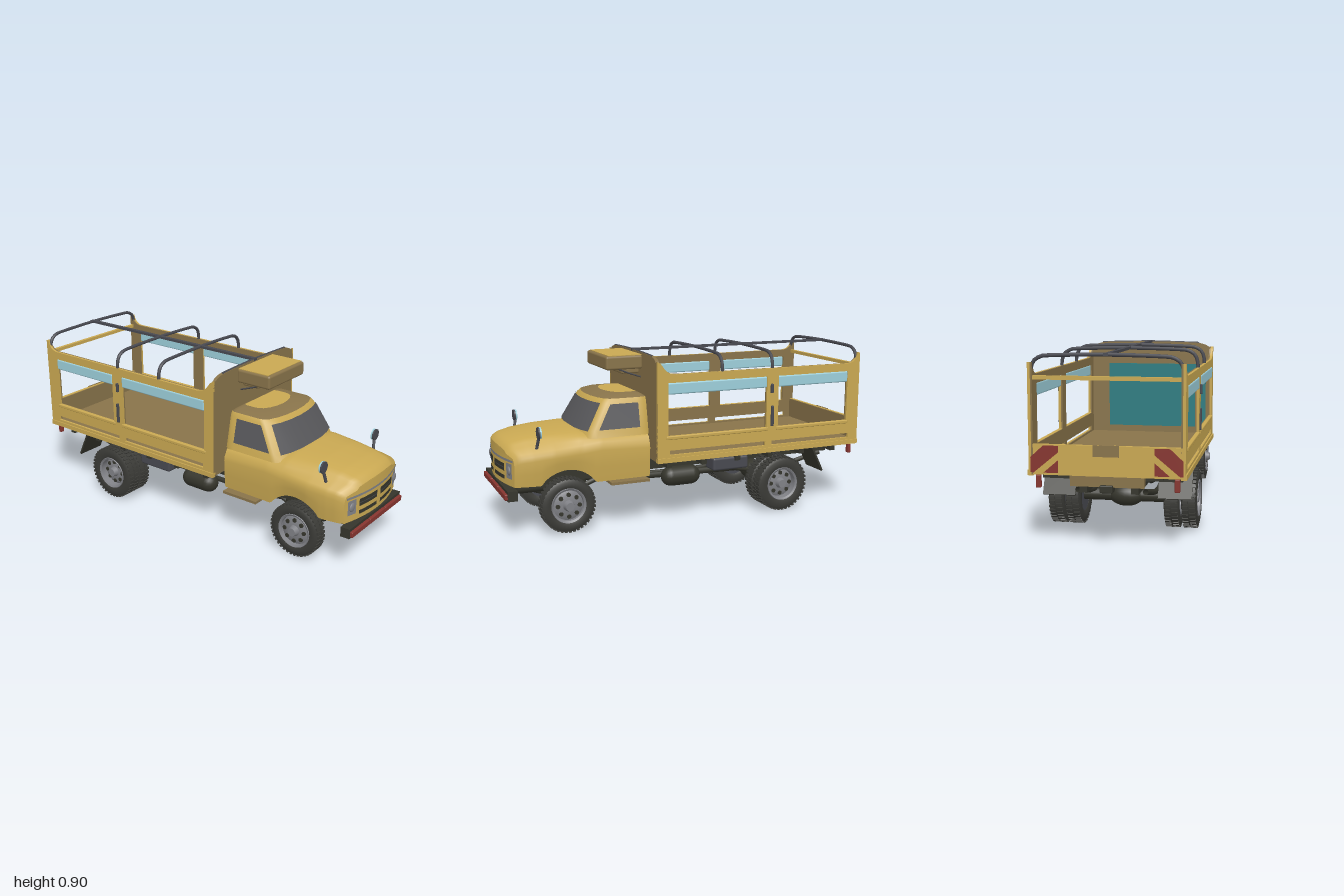
import * as THREE from 'three';
import { mergeGeometries, toCreasedNormals } from 'three/addons/utils/BufferGeometryUtils.js';
import { RoundedBoxGeometry } from 'three/addons/geometries/RoundedBoxGeometry.js';

const mat = (name, color, side = THREE.FrontSide) => new THREE.MeshStandardMaterial({ name, color, side });
const bothSides = fn => [1, -1].forEach(fn);

// skin over rows of points
function skin(rows, crease = 0.7) {
  const n = rows[0].length, idx = [];
  for (let i = 0; i < rows.length - 1; i++) for (let j = 0; j < n - 1; j++) {
    const a = i * n + j, b = a + n;
    idx.push(a, a + 1, b, a + 1, b + 1, b);
  }
  const g = new THREE.BufferGeometry();
  g.setAttribute('position', new THREE.Float32BufferAttribute(rows.flat(2), 3));
  g.setIndex(idx);
  return toCreasedNormals(g, crease);
}
// row of a table interpolated by its first column
function lerpTable(t, k) {
  let i = 0;
  while (i < t.length - 2 && k > t[i + 1][0]) i++;
  const f = THREE.MathUtils.clamp((k - t[i][0]) / (t[i + 1][0] - t[i][0]), 0, 1);
  return t[i].map((v, j) => THREE.MathUtils.lerp(v, t[i + 1][j], f));
}

export function createModel() {
  const D = THREE.DoubleSide;
  const gold = mat('gold paint', 0xc9a852, D), brown = mat('brown paint', 0x88734a, D);
  const glass = mat('grey glass', 0x58585b, D), metal = mat('dark metal', 0x484950);
  const rubber = mat('rubber', 0x3b3b37), under = mat('chassis', 0x35352c, D);
  const steel = mat('steel', 0x808186, D), blue = mat('light blue', 0x9dcfdb);
  const teal = mat('teal', 0x2b7c80), red = mat('red', 0x86352f);
  const root = new THREE.Group();
  const add = (name, geo, m, parent = root) => {
    const mesh = new THREE.Mesh(geo, m);
    mesh.name = name;
    parent.add(mesh);
    return mesh;
  };
  // box from its limits on each axis, and a mirrored pair of them
  const box = (name, m, x0, x1, y0, y1, z0, z1, r = 0) => {
    const s = [Math.abs(x1 - x0), y1 - y0, z1 - z0];
    const g = r ? new RoundedBoxGeometry(...s, 3, r) : new THREE.BoxGeometry(...s);
    return add(name, g.translate((x0 + x1) / 2, (y0 + y1) / 2, (z0 + z1) / 2), m);
  };
  const pair = (name, m, x0, x1, ...rest) => bothSides(s => box(name, m, s * x0, s * x1, ...rest));
  const tube = (name, m, pts, r, tension = 0.2) => add(name, new THREE.TubeGeometry(
    new THREE.CatmullRomCurve3(pts.map(p => new THREE.Vector3(...p)), false, 'catmullrom', tension), 40, r, 8), m);

  // Bonnet, wings and lower cab: z, half width, wing top, bonnet half width, bonnet top
  const hull = [[0.235, 0.275, 0.44, 0.255, 0.49], [0.5, 0.28, 0.45, 0.255, 0.5], [0.6, 0.281, 0.44, 0.25, 0.511],
    [0.75, 0.29, 0.432, 0.228, 0.507], [0.88, 0.285, 0.425, 0.21, 0.495], [0.95, 0.277, 0.42, 0.2, 0.48],
    [0.975, 0.27, 0.415, 0.19, 0.468], [0.99, 0.26, 0.40, 0.18, 0.45]];
  const warp = (x, z) => z - 0.05 * (x / 0.28) ** 2 * THREE.MathUtils.smoothstep(z, 0.78, 0.99);
  const halfSection = z => {
    const [, w, f, hw, h] = lerpTable(hull, z), d = 0.18 ** 2 - (z - 0.68) ** 2;
    const b = Math.max(z > 0.8 ? 0.262 : 0.25, d > 0 ? 0.15 + Math.sqrt(d) : 0);
    return [[w * 0.965, b], [w * 0.99, b + (f - b) * 0.4], [w, f - 0.035], [w * 0.985, f - 0.012], [w * 0.95, f + 0.006],
      [hw, f + (h - f) * 0.4], [hw * 0.92, f + (h - f) * 0.68], [hw * 0.75, h - 0.01], [hw * 0.4, h - 0.002], [0, h]];
  };
  const hullRows = Array.from({ length: 61 }, (_, i) => {
    const z = 0.235 + 0.755 * i / 60, half = halfSection(z);
    return [...half, ...half.slice(0, -1).reverse().map(([x, y]) => [-x, y])].map(([x, y]) => [x, y, warp(x, z)]);
  });
  add('bonnetAndWings', skin(hullRows, 0.9), gold);
  const cols = Array.from({ length: 13 }, (_, i) => i / 6 - 1);
  add('nosePanel', skin(halfSection(0.99).map(([x, y]) => cols.map(t => [t * x, y, warp(t * x, 0.99)]))), gold);

  // Nose fittings follow the curve of the panel
  const patch = (name, m, xc, hw, y0, y1, o = 0.004) => add(name, skin([y0, y1].map(y =>
    cols.map(t => [xc + hw * t, y, warp(xc + hw * t, 0.99) + o]))), m);
  patch('noseTrim', steel, 0, 0.25, 0.386, 0.398);
  bothSides(s => {
    patch('upperGrille', under, s * 0.09, 0.073, 0.33, 0.369);
    patch('lowerGrille', under, s * 0.09, 0.073, 0.288, 0.308);
    patch('grilleBar', metal, s * 0.09, 0.073, 0.347, 0.351, 0.006);
    patch('lampSurround', steel, s * 0.213, 0.027, 0.3, 0.378);
    add('headlamp', new THREE.SphereGeometry(0.023, 20, 12).scale(1, 1, 0.35)
      .translate(s * 0.213, 0.34, warp(0.213, 0.99) + 0.004), steel);
  });

  // Cabin: height, half width, front z
  const cabin = [[0.475, 0.268, 0.61], [0.51, 0.26, 0.592], [0.645, 0.23, 0.515], [0.665, 0.218, 0.495],
    [0.677, 0.19, 0.46], [0.683, 0.14, 0.41]];
  const cabRing = (y, o = 0) => {
    const [, w0, f0] = lerpTable(cabin, y), w = w0 + o, f = f0 + o;
    const back = y > 0.67 ? 0.235 + (0.51 - f) * 0.25 : 0.235;
    const h = [[0, f], [w * 0.35, f - 0.005], [w * 0.65, f - 0.018], [w * 0.88, f - 0.038], [w * 0.975, f - 0.062],
      [w, f - 0.085], [w, back + 0.05], [w, back + 0.02], [w * 0.95, back], [0, back]];
    return [...h.slice(1).reverse().map(([x, z]) => [-x, y, z]), ...h.map(([x, z]) => [x, y, z])];
  };
  const cabRows = cabin.map(c => cabRing(c[0]));
  add('cabinShell', skin(cabRows.slice(0, 4), 0.9), gold);
  add('roofEdge', skin(cabRows.slice(3), 0.9), brown);
  add('roofTop', skin([cabRows[5], cabRows[5].map(() => [0, 0.684, 0.33])]), gold);
  [['windscreen', 0.508, 0.645, 6, 13], ['rightWindow', 0.515, 0.64, 3, 5], ['leftWindow', 0.515, 0.64, 14, 16]].forEach(
    ([name, y0, y1, a, b]) => add(name, skin([y0, y1].map(y => cabRing(y, 0.004).slice(a, b))), glass));

  // Mirrors, cab steps and bumper
  bothSides(s => {
    tube('mirrorArm', metal, [[s * 0.238, 0.43, 0.83], [s * 0.24, 0.46, 0.825], [s * 0.255, 0.52, 0.815]], 0.008);
    [['mirrorShell', metal, 0.822], ['mirrorFace', blue, 0.814]].forEach(([name, m, z]) => add(name,
      new THREE.CylinderGeometry(0.03, 0.03, 0.008, 24).rotateX(Math.PI / 2).translate(s * 0.255, 0.527, z), m));
  });
  pair('cabStep', brown, 0.205, 0.305, 0.232, 0.246, 0.25, 0.46);
  box('bumperBack', under, -0.26, 0.26, 0.193, 0.245, 0.935, 0.985);
  box('bumperMiddle', red, -0.077, 0.077, 0.2, 0.23, 0.978, 1, 0.005);
  pair('bumperEnd', red, 0.083, 0.255, 0.2, 0.23, 0.978, 1, 0.005);

  // Front bulkhead with rounded shoulders
  const wall = new THREE.Shape().moveTo(-0.355, 0.34).lineTo(-0.355, 0.80)
    .bezierCurveTo(-0.355, 0.86, -0.32, 0.878, -0.25, 0.882).quadraticCurveTo(0, 0.892, 0.25, 0.882)
    .bezierCurveTo(0.32, 0.878, 0.355, 0.86, 0.355, 0.80).lineTo(0.355, 0.34);
  add('bulkhead', new THREE.ExtrudeGeometry(wall, { depth: 0.018, bevelEnabled: false, curveSegments: 16 })
    .translate(0, 0, 0.21), brown);
  box('bulkheadLining', teal, -0.32, 0.24, 0.4, 0.76, 0.203, 0.209);

  // Side walls with window openings and floor slots
  const side = new THREE.Shape().moveTo(0.228, 0.34).lineTo(0.228, 0.86).bezierCurveTo(0.19, 0.85, 0.2, 0.795, 0.12, 0.793)
    .lineTo(-0.91, 0.793).quadraticCurveTo(-0.965, 0.795, -0.975, 0.85).lineTo(-0.99, 0.85).lineTo(-0.99, 0.34);
  const bays = [[-0.405, 0.169], [-0.914, -0.475]];
  const rect = (a, b, c, d) => new THREE.Path([[a, c], [a, d], [b, d], [b, c]].map(p => new THREE.Vector2(...p)));
  side.holes.push(...bays.map(([a, b]) => rect(a, b, 0.472, 0.75)), rect(-0.4, 0.16, 0.374, 0.398), rect(-0.93, -0.44, 0.374, 0.398));
  const plate = (t, x) => new THREE.ExtrudeGeometry(side, { depth: t, bevelEnabled: false })
    .rotateY(-Math.PI / 2).translate(t / 2 + x, 0, 0);
  bothSides(s => {
    add('sideWall', plate(0.013, s * 0.3525), gold);
    add('sideLining', plate(0.008, s * 0.342), brown);
  });
  bays.forEach(([a, b]) => {
    pair('rolledBlind', blue, 0.343, 0.361, 0.69, 0.75, a, b, 0.008);
    pair('windowSill', gold, 0.341, 0.363, 0.455, 0.474, a - 0.01, b + 0.01, 0.005);
  });
  pair('bodyRail', gold, 0.339, 0.365, 0.335, 0.36, -0.99, 0.228);
  pair('blindLatch', metal, 0.358, 0.37, 0.66, 0.71, -0.44, -0.425, 0.003);
  pair('sideLatch', metal, 0.356, 0.368, 0.48, 0.59, -0.446, -0.43, 0.003);
  box('loadFloor', brown, -0.345, 0.345, 0.345, 0.364, -0.985, 0.21);

  // Canopy frame
  [-0.142, -0.44, -0.972].forEach(z => {
    const half = [[0.347, 0.78, z], [0.347, 0.815, z], [0.334, 0.853, z], [0.305, 0.873, z], [0.25, 0.881, z]];
    tube('canopyHoop', metal, [...half, [0, 0.886, z], ...half.slice().reverse().map(([x, y]) => [-x, y, z])], 0.009, 0.5);
  });
  box('canopySpine', metal, -0.011, 0.011, 0.88, 0.893, -0.985, 0.23);
  tube('bulkheadTrim', metal, [[-0.28, 0.879, 0.22], [0, 0.886, 0.22], [0.28, 0.879, 0.22]], 0.007);
  box('rearTopBar', gold, -0.345, 0.345, 0.772, 0.79, -0.985, -0.965);

  // Tailgate with warning stripes
  box('tailgate', gold, -0.35, 0.35, 0.34, 0.48, -0.99, -0.972);
  box('tailgateLining', brown, -0.34, 0.34, 0.365, 0.478, -0.971, -0.966);
  box('tailgateLatch', brown, -0.06, 0.06, 0.43, 0.482, -0.994, -0.985);
  const stripes = [[[0.22, 0.35], [0.22, 0.41], [0.29, 0.35]],
    [[0.22, 0.475], [0.29, 0.475], [0.35, 0.42], [0.35, 0.35], [0.335, 0.35], [0.22, 0.445]]];
  bothSides(s => stripes.forEach(pts => add('warningStripe', new THREE.ShapeGeometry(new THREE.Shape(
    pts.map(([x, y]) => new THREE.Vector2(-s * x, y)))).rotateY(Math.PI).translate(0, 0, -0.992), red)));
  pair('tailLamp', red, 0.308, 0.332, 0.275, 0.335, -0.975, -0.955, 0.004);
  box('rearStep', brown, -0.17, 0.17, 0.29, 0.34, -0.98, -0.93);
  box('towHitch', under, -0.03, 0.03, 0.265, 0.3, -0.995, -0.93, 0.005);

  // Wind deflector above the cab
  box('deflector', brown, -0.16, 0.16, 0.802, 0.874, 0.228, 0.43, 0.012);
  box('deflectorTop', gold, -0.152, 0.152, 0.872, 0.877, 0.232, 0.415);
  box('deflectorKeel', brown, -0.11, 0.11, 0.772, 0.805, 0.228, 0.33, 0.01);
  bothSides(s => tube('deflectorBrace', metal, [[s * 0.125, 0.755, 0.228], [s * 0.125, 0.78, 0.3], [s * 0.125, 0.805, 0.36]], 0.004));

  // Chassis
  bothSides(s => {
    [[-0.51, 0.36, 0.185, 0.16], [0.68, 0.27, 0.175, 0.125]].forEach(([z, l, y, x]) => tube('leafSpring', under,
      [[s * x, 0.25, z - l], [s * x, y, z], [s * x, 0.25, z + l]], 0.014, 0.5));
    add('sideTank', new THREE.CapsuleGeometry(0.052, 0.115, 6, 20).rotateX(Math.PI / 2).translate(s * 0.245, 0.23, 0.05), under);
    add('mudFlap', new THREE.BoxGeometry(0.16, 0.15, 0.01).rotateX(0.45).translate(s * 0.28, 0.265, -0.735), under);
  });
  pair('frameRail', under, 0.102, 0.138, 0.25, 0.32, -0.93, 0.94);
  pair('stowageBox', metal, 0.22, 0.32, 0.25, 0.32, -0.32, -0.11, 0.012);
  pair('wheelArchLiner', under, 0.145, 0.185, 0.25, 0.4, 0.5, 0.9);
  box('underBody', under, -0.25, 0.25, 0.32, 0.345, -0.93, 0.24);
  box('cabFloor', under, -0.262, 0.262, 0.255, 0.27, 0.24, 0.5);
  box('engineBay', under, -0.18, 0.18, 0.2, 0.4, 0.55, 0.93, 0.03);
  for (let z = -0.85; z < 0.25; z += 0.2) box('crossMember', under, -0.33, 0.33, 0.3, 0.335, z - 0.015, z + 0.015);
  tube('driveShaft', under, [[0, 0.22, 0.6], [0, 0.18, 0.25], [0, 0.165, -0.5]], 0.018);
  tube('exhaust', under, [[-0.07, 0.2, 0.6], [-0.08, 0.17, 0.3], [-0.08, 0.17, -0.25], [-0.18, 0.24, -0.35]], 0.014);
  [[0.68, 0.145], [-0.51, 0.152]].forEach(([z, y]) => {
    add('axle', new THREE.CylinderGeometry(0.032, 0.032, 0.44, 16).rotateZ(Math.PI / 2).translate(0, y, z), under);
    add('differential', new THREE.SphereGeometry(0.06, 20, 14).scale(1.5, 0.95, 1).translate(0, y, z), under);
  });

  // Wheels: tyre, tread blocks, dished rim with round vents
  const lathe = pts => toCreasedNormals(new THREE.LatheGeometry(pts.map(p => new THREE.Vector2(...p)), 40), 0.6);
  const wheel = (name, x, y, z, r, dish, s) => {
    const g = new THREE.Group(), h = 0.037, lugs = [];
    add('tyre', lathe([[0.085, -h + 0.006], [0.1, -h], [r - 0.02, -h], [r - 0.006, -h + 0.008], [r - 0.005, 0],
      [r - 0.006, h - 0.008], [r - 0.02, h], [0.1, h], [0.085, h - 0.006], [0.085, -h + 0.006]]), rubber, g);
    for (let i = 0; i < 40; i++) bothSides(k => lugs.push(new THREE.BoxGeometry(0.008, 0.03, 0.012)
      .translate(r - 0.004, k * 0.018, 0).rotateY((i + k * 0.25) * Math.PI / 20)));
    add('treadBlocks', mergeGeometries(lugs), rubber, g);
    add('rim', lathe([[0.093, h - 0.006], [0.09, h + 0.002], [0.08, h - 0.004], [0.078, dish - 0.012], [0.055, dish], [0.001, dish]]), steel, g);
    add('hub', new THREE.CylinderGeometry(0.022, 0.03, 0.03, 20).translate(0, dish + 0.012, 0), steel, g);
    add('rimBack', new THREE.CylinderGeometry(0.086, 0.086, 0.01, 32).translate(0, -h + 0.012, 0), metal, g);
    for (let i = 0; i < 8; i++) add('rimVent', new THREE.CylinderGeometry(0.011, 0.011, 0.008, 14)
      .translate(0.057, dish, 0).rotateY(i * Math.PI / 4), under, g);
    g.name = name;
    g.rotation.z = -s * Math.PI / 2;
    g.position.set(s * x, y, z);
    root.add(g);
  };
  bothSides(s => {
    wheel('frontWheel', 0.244, 0.143, 0.68, 0.143, 0.03, s);
    wheel('rearOuterWheel', 0.331, 0.15, -0.51, 0.15, 0.008, s);
    wheel('rearInnerWheel', 0.245, 0.15, -0.51, 0.15, 0.008, s);
  });
  return root;
}
